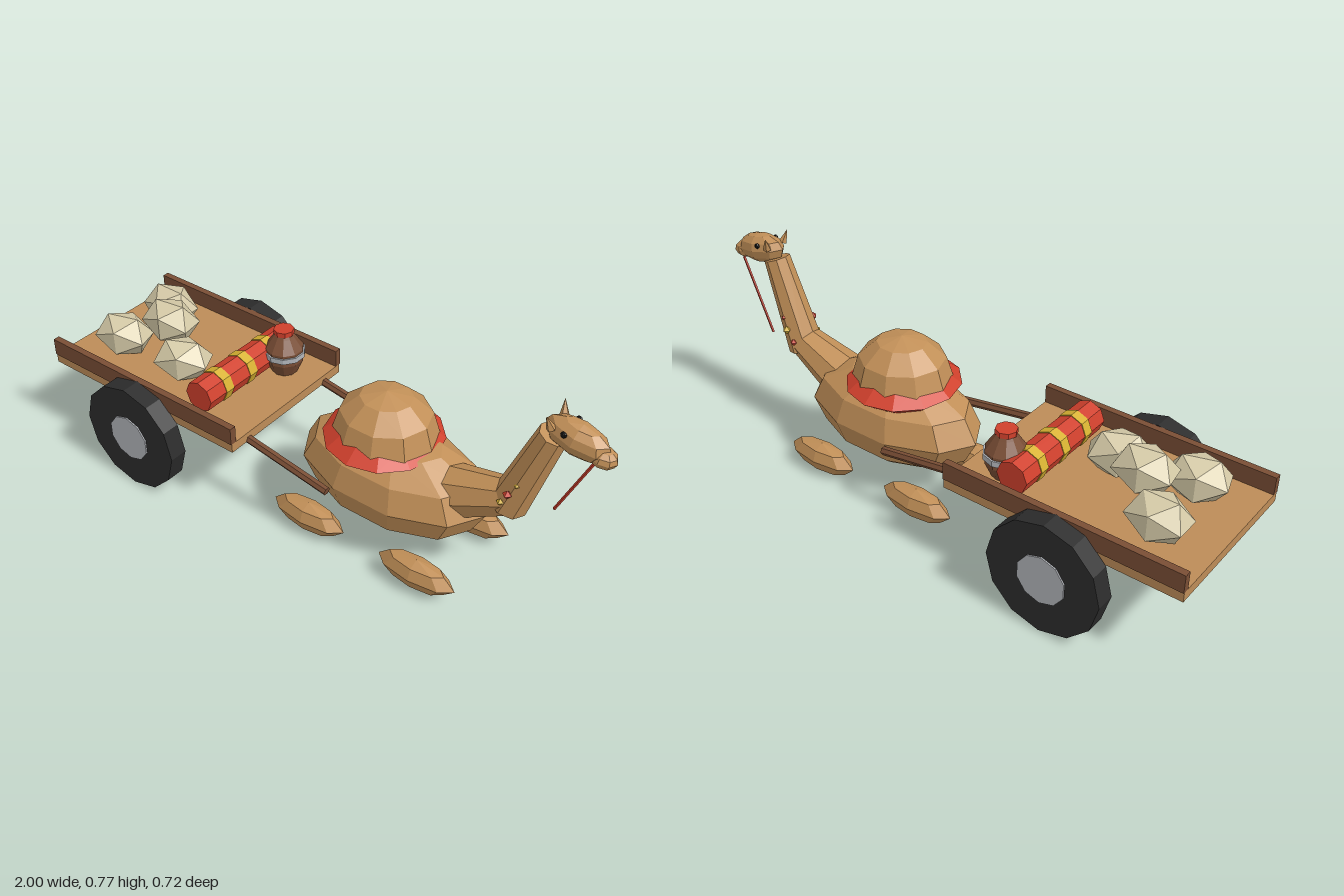
import * as THREE from 'three';

const mat = (name, color) => Object.assign(new THREE.MeshStandardMaterial({ color, flatShading: true }), { name });

export function createModel() {
  const M = {
    fur: mat('camel fur', 0xc29058),
    plank: mat('light wood', 0xbd8c58),
    wood: mat('dark wood', 0x7a4e35),
    red: mat('red cloth', 0xd0402c),
    gold: mat('gold', 0xd8b232),
    tyre: mat('tyre black', 0x2c2c2c),
    hub: mat('hub grey', 0xb2b5ba),
    iron: mat('axle iron', 0x5b636d),
    sack: mat('pale sack', 0xd6cba8),
    black: mat('eye black', 0x111111),
  };
  const root = new THREE.Group();
  const V = (x, y, z) => new THREE.Vector3(x, y, z);

  function group(name) {
    const g = new THREE.Group();
    g.name = name;
    root.add(g);
    return g;
  }
  function add(parent, name, geo, material, x, y, z) {
    const m = new THREE.Mesh(geo, material);
    m.name = name;
    m.position.set(x, y, z);
    parent.add(m);
    return m;
  }
  // Box given by its limits
  function box(parent, name, material, x0, x1, y0, y1, z0, z1) {
    return add(parent, name, new THREE.BoxGeometry(x1 - x0, y1 - y0, z1 - z0), material,
      (x0 + x1) / 2, (y0 + y1) / 2, (z0 + z1) / 2);
  }
  function ball(parent, name, material, x, y, z, rx, ry, rz, seg = 10, rings = 6) {
    const m = add(parent, name, new THREE.SphereGeometry(1, seg, rings), material, x, y, z);
    m.scale.set(rx, ry, rz);
    return m;
  }
  // Tapered rod between two points
  function rod(parent, name, material, a, b, ra, rb, sides = 8) {
    const d = b.clone().sub(a);
    const m = add(parent, name, new THREE.CylinderGeometry(rb, ra, d.length(), sides), material, 0, 0, 0);
    m.position.copy(a).add(b).multiplyScalar(0.5);
    m.quaternion.setFromUnitVectors(V(0, 1, 0), d.normalize());
    return m;
  }
  function drum(parent, name, material, r, width, sides, x, y, z) {
    const geo = new THREE.CylinderGeometry(r, r, width, sides).rotateX(Math.PI / 2);
    return add(parent, name, geo, material, x, y, z);
  }

  // Cart bed, rails, wheels and shafts
  const cart = group('cart');
  box(cart, 'deck', M.plank, -1, -0.167, 0.3, 0.334, -0.284, 0.284);
  box(cart, 'underFrame', M.wood, -0.96, -0.2, 0.288, 0.3, -0.24, 0.24);
  drum(cart, 'axle', M.iron, 0.018, 0.58, 8, -0.583, 0.2, 0);
  for (const s of [-1, 1]) {
    box(cart, 'sideRail', M.wood, -1, -0.167, 0.334, 0.397, s * 0.276 - 0.012, s * 0.276 + 0.012);
    drum(cart, 'wheel', M.tyre, 0.2, 0.066, 12, -0.583, 0.2, s * 0.32);
    drum(cart, 'hub', M.hub, 0.086, 0.076, 10, -0.583, 0.2, s * 0.32);
    rod(cart, 'shaft', M.wood, V(-0.21, 0.31, s * 0.2), V(0.155, 0.25, s * 0.2), 0.015, 0.015, 6);
  }

  // Cargo: sacks, rolled rug and jug
  const cargo = group('cargo');
  [[-0.82, 0.405, -0.12], [-0.7, 0.45, 0], [-0.82, 0.405, 0.115], [-0.56, 0.395, 0.09]].forEach(([x, y, z], i) => {
    const m = add(cargo, 'sack', new THREE.IcosahedronGeometry(1, 0), M.sack, x, y, z);
    m.scale.set(0.11, 0.083, 0.085);
    m.rotation.y = i * 0.15;
  });
  drum(cargo, 'rolledRug', M.red, 0.056, 0.43, 8, -0.372, 0.39, 0);
  for (const z of [-0.12, 0, 0.12]) drum(cargo, 'rugStrap', M.gold, 0.059, 0.036, 8, -0.372, 0.39, z);

  const jugProfile = [[0, 0.334], [0.045, 0.334], [0.068, 0.385], [0.068, 0.43], [0.038, 0.475], [0.03, 0.488], [0, 0.488]]
    .map(([r, y]) => new THREE.Vector2(r, y));
  add(cargo, 'jug', new THREE.LatheGeometry(jugProfile, 10), M.wood, -0.3, 0, -0.145);
  add(cargo, 'jugBand', new THREE.CylinderGeometry(0.074, 0.074, 0.02, 10), M.hub, -0.3, 0.411, -0.145);
  add(cargo, 'jugLid', new THREE.CylinderGeometry(0.036, 0.036, 0.018, 8), M.red, -0.3, 0.494, -0.145);

  // Camel body, hump, saddle cloth and feet
  const camel = group('camel');
  ball(camel, 'body', M.fur, 0.272, 0.26, 0, 0.347, 0.17, 0.194);
  ball(camel, 'hump', M.fur, 0.235, 0.415, 0, 0.175, 0.153, 0.165);
  const cloth = new THREE.TorusGeometry(0.14, 0.062, 4, 12).rotateX(Math.PI / 2).scale(0.97, 0.75, 1);
  add(camel, 'saddleCloth', cloth, M.red, 0.23, 0.399, 0);
  for (const x of [0.05, 0.482]) {
    for (const s of [-1, 1]) ball(camel, 'foot', M.fur, x, 0.063, s * 0.162, 0.145, 0.054, 0.049, 8, 4);
  }

  // Neck and head
  rod(camel, 'lowerNeck', M.fur, V(0.5, 0.305, 0), V(0.705, 0.39, 0), 0.09, 0.058);
  rod(camel, 'upperNeck', M.fur, V(0.69, 0.36, 0), V(0.803, 0.68, 0), 0.063, 0.046);
  ball(camel, 'head', M.fur, 0.875, 0.7, 0, 0.106, 0.053, 0.051, 8, 6).rotation.z = -0.18;
  ball(camel, 'muzzle', M.fur, 0.956, 0.673, 0, 0.044, 0.031, 0.038, 8, 6).rotation.z = -0.15;
  for (const s of [-1, 1]) {
    rod(camel, 'ear', M.fur, V(0.808, 0.725, s * 0.038), V(0.797, 0.768, s * 0.052), 0.015, 0.001, 5);
    ball(camel, 'eye', M.black, 0.85, 0.727, s * 0.045, 0.01, 0.01, 0.007, 8, 6);
  }

  // Rein and neck ornaments, colours swapped between the two sides
  rod(camel, 'rein', M.red, V(0.94, 0.655, -0.03), V(0.825, 0.388, -0.03), 0.005, 0.005, 5);
  for (const s of [-1, 1]) {
    const [a, b] = s > 0 ? [M.red, M.gold] : [M.gold, M.red];
    add(camel, 'largeBead', new THREE.OctahedronGeometry(0.016), a, 0.715, 0.45, s * 0.066);
    add(camel, 'smallBead', new THREE.OctahedronGeometry(0.009), b, 0.737, 0.487, s * 0.056);
    add(camel, 'lowBead', new THREE.OctahedronGeometry(0.013), b, 0.692, 0.405, s * 0.06);
  }
  return root;
}
